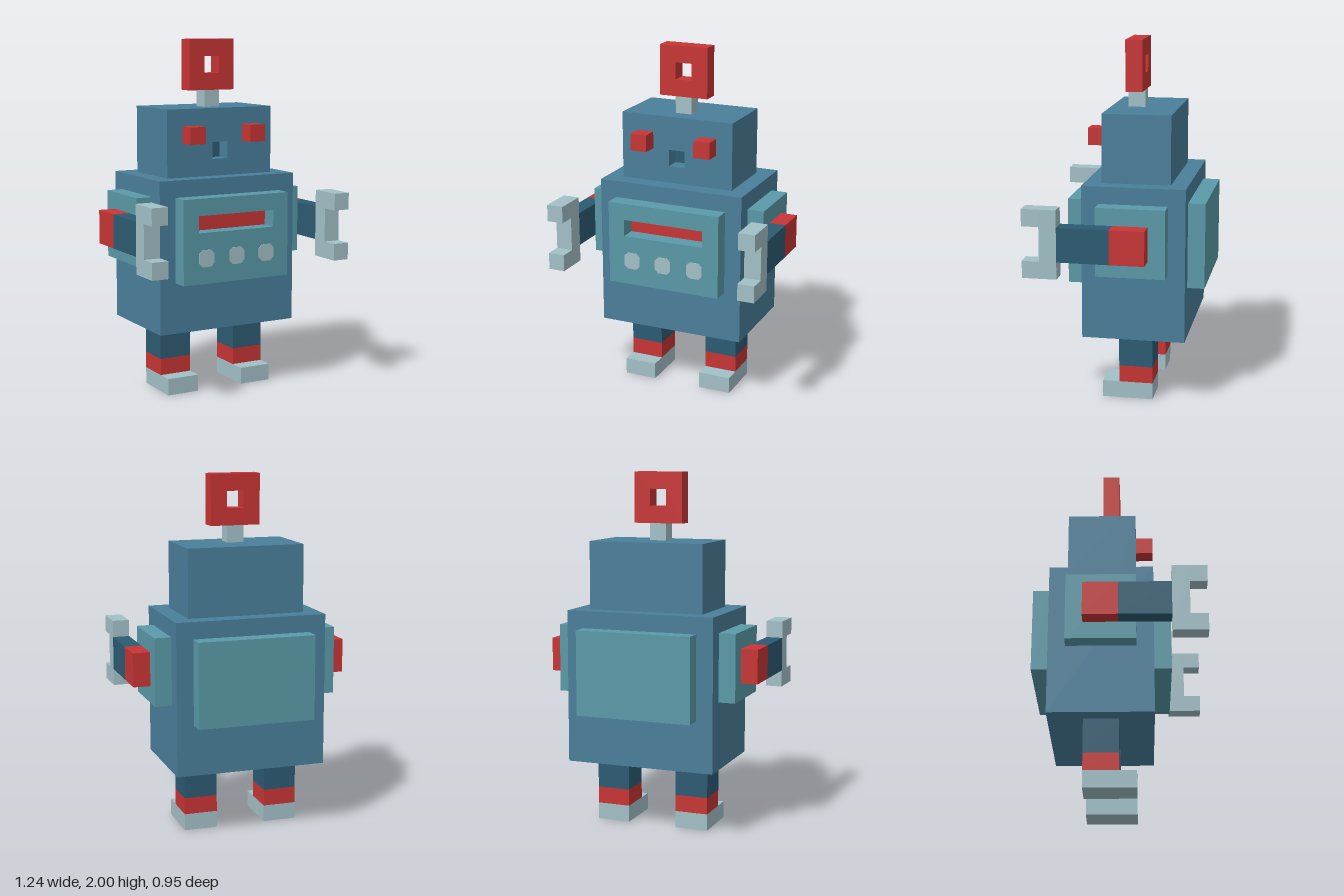
import * as THREE from 'three';

// The robot sits on a block grid: 21 units tall = 2 world units
const U = 2 / 21;

const paint = (name, color) => {
  const m = new THREE.MeshStandardMaterial({ color });
  m.name = name;
  return m;
};

export function createModel() {
  const blue = paint('steelBlue', 0x4a7f9b);
  const teal = paint('teal', 0x5a9aa8);
  const red = paint('red', 0xc83535);
  const navy = paint('darkBlue', 0x2c5b72);
  const pale = paint('paleGrey', 0xa3c1c8);

  const robot = new THREE.Group();
  robot.name = 'robot';

  const add = (parent, name, geometry, material) => {
    const mesh = new THREE.Mesh(geometry, material);
    mesh.name = name;
    parent.add(mesh);
    return mesh;
  };

  // Box from [min, max] grid ranges on each axis
  const block = (parent, name, material, [x0, x1], [y0, y1], [z0, z1]) => {
    const g = new THREE.BoxGeometry((x1 - x0) * U, (y1 - y0) * U, (z1 - z0) * U);
    g.translate((x0 + x1) / 2 * U, (y0 + y1) / 2 * U, (z0 + z1) / 2 * U);
    return add(parent, name, g, material);
  };

  // Polygon from grid corners, extruded between two depths
  const corners = (x0, x1, y0, y1) => [[x0, y0], [x1, y0], [x1, y1], [x0, y1]];
  const points = (list) => list.map(([x, y]) => new THREE.Vector2(x * U, y * U));
  const slab = (parent, name, material, outline, hole, z0, z1) => {
    const shape = new THREE.Shape(points(outline));
    if (hole) shape.holes.push(new THREE.Path(points(hole).reverse()));
    const g = new THREE.ExtrudeGeometry(shape, { depth: (z1 - z0) * U, bevelEnabled: false });
    g.translate(0, 0, z0 * U);
    return add(parent, name, g, material);
  };

  // Torso
  block(robot, 'torso', blue, [-4.5, 4.5], [4, 13], [-4, 2]);
  block(robot, 'backPanel', teal, [-3.5, 3.5], [7, 12], [-5, -4]);

  // Chest panel with a recessed slot and three buttons
  slab(robot, 'chestPanel', teal, corners(-3.5, 3.5, 7, 12), corners(-2.5, 2.5, 10, 11), 2, 3);
  block(robot, 'slotBack', red, [-2.5, 2.5], [10, 11], [2, 2.04]);
  const r = 0.5, c = 0.28;
  for (const x of [-2, 0, 2]) {
    const octagon = [[c, -r], [r, -c], [r, c], [c, r], [-c, r], [-r, c], [-r, -c], [-c, -r]];
    slab(robot, 'chestButton', pale, octagon.map(([px, py]) => [x + px, 8.5 + py]), null, 3, 3.04);
  }

  // Head with a recessed mouth
  block(robot, 'headBack', blue, [-3.5, 3.5], [13, 17], [-3, 0]);
  slab(robot, 'headFace', blue, corners(-3.5, 3.5, 13, 17), corners(-0.5, 0.5, 14, 15), 0, 1);
  block(robot, 'mouthBack', navy, [-0.5, 0.5], [14, 15], [0, 0.04]);

  // Antenna: stem and square ring
  block(robot, 'antennaStem', pale, [-0.5, 0.5], [17, 18], [-1, 0]);
  slab(robot, 'antennaRing', red, corners(-1.5, 1.5, 18, 21), corners(-0.5, 0.5, 19, 20), -1, 0);

  // Mirrored parts
  for (const s of [1, -1]) {
    const side = s > 0 ? 'left' : 'right';
    const span = (a, b) => (s > 0 ? [a, b] : [-b, -a]);

    block(robot, side + 'Eye', red, span(1.5, 2.5), [15, 16], [1, 2]);
    block(robot, side + 'ShoulderPanel', teal, span(4.5, 5.5), [8, 12], [-3, 1]);

    const arm = new THREE.Group();
    arm.name = side + 'Arm';
    robot.add(arm);
    const ax = span(5.5, 6.5);
    block(arm, 'shoulder', red, ax, [9, 11], [-2, 0]);
    block(arm, 'forearm', navy, ax, [9, 11], [0, 3]);
    block(arm, 'clawBase', pale, ax, [8, 12], [3, 4]);
    block(arm, 'lowerProng', pale, ax, [8, 9], [4, 5]);
    block(arm, 'upperProng', pale, ax, [11, 12], [4, 5]);

    const leg = new THREE.Group();
    leg.name = side + 'Leg';
    robot.add(leg);
    const lx = span(1.5, 3.5);
    block(leg, 'upperLeg', navy, lx, [2, 4], [-2, 0]);
    block(leg, 'ankle', red, lx, [1, 2], [-2, 0]);
    block(leg, 'foot', pale, lx, [0, 1], [-2, 1]);
  }

  return robot;
}
